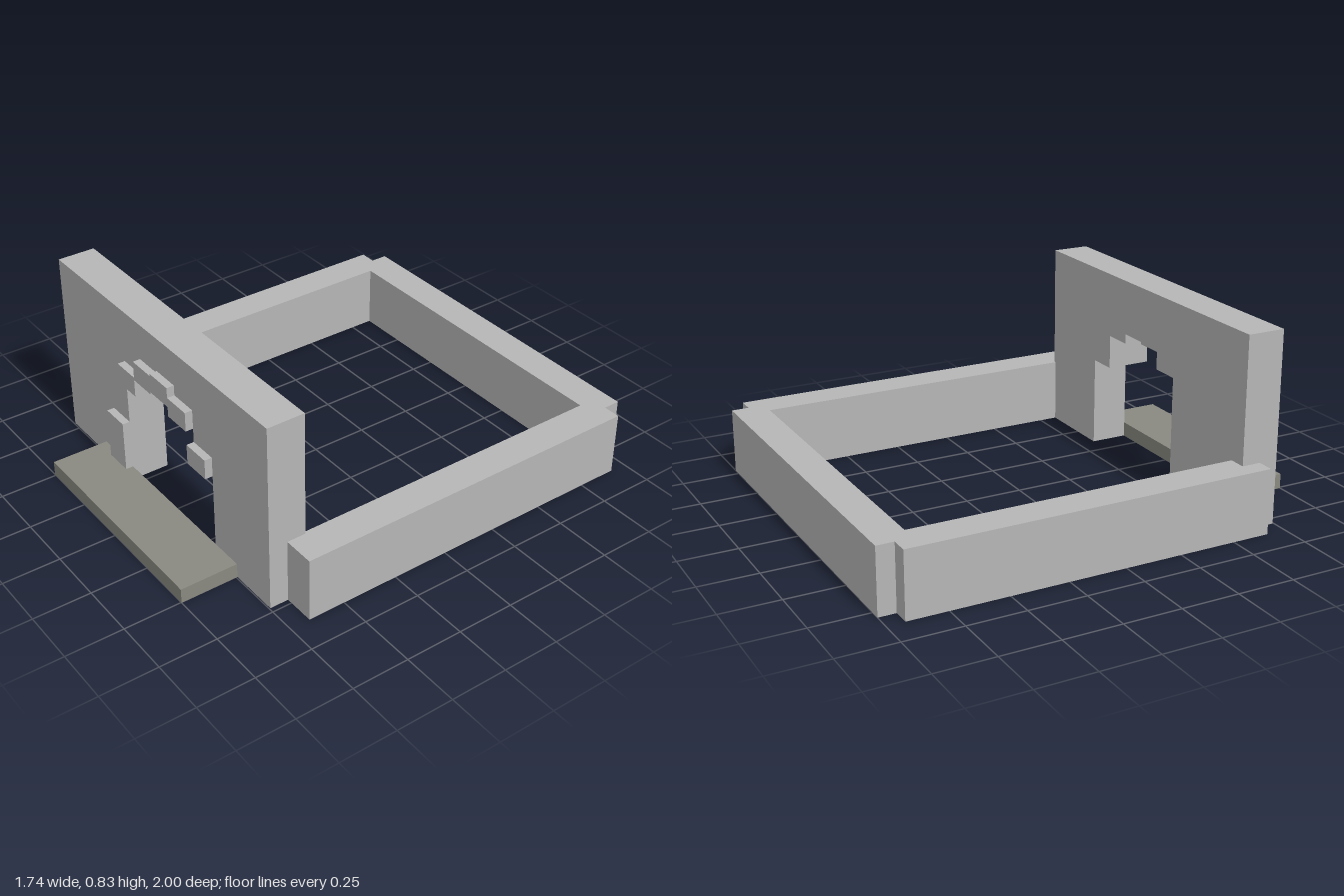
import * as THREE from 'three';

const stone = new THREE.MeshStandardMaterial({ name: 'lightStone', color: 0xb6b6b6 });
const slab = new THREE.MeshStandardMaterial({ name: 'darkSlab', color: 0x898981 });

// Box given by its limits on each axis
function block(name, material, [x0, x1], [y0, y1], [z0, z1]) {
  const mesh = new THREE.Mesh(new THREE.BoxGeometry(x1 - x0, y1 - y0, z1 - z0), material);
  mesh.position.set((x0 + x1) / 2, (y0 + y1) / 2, (z0 + z1) / 2);
  mesh.name = name;
  return mesh;
}

export function createModel() {
  const model = new THREE.Group();
  model.name = 'walledCourtyard';

  // Low walls around the yard
  const lowHeight = [0, 0.282];
  model.add(
    block('rightWall', stone, [-0.87, -0.72], lowHeight, [-0.925, 0.663]),
    block('leftWall', stone, [0.716, 0.866], lowHeight, [-0.925, 0.663]),
    block('backWall', stone, [-0.795, 0.79], lowHeight, [-1, -0.853]),
  );

  // Arch stones: x start, x end, bottom, top
  const archStones = [
    [-0.283, -0.155, 0.5, 0.59],
    [-0.155, -0.028, 0.578, 0.665],
    [-0.028, 0.098, 0.588, 0.675],
    [0.098, 0.225, 0.545, 0.63],
    [0.225, 0.352, 0.396, 0.483],
  ];

  // Tall front wall with a stepped doorway that follows the arch stones
  const outline = new THREE.Shape();
  outline.moveTo(-0.795, 0);
  outline.lineTo(-0.283, 0);
  for (const [x0, x1, bottom] of archStones) {
    outline.lineTo(x0, bottom);
    outline.lineTo(x1, bottom);
  }
  outline.lineTo(0.352, 0);
  outline.lineTo(0.727, 0);
  outline.lineTo(0.727, 0.828);
  outline.lineTo(-0.795, 0.828);
  outline.closePath();
  const frontWall = new THREE.Mesh(
    new THREE.ExtrudeGeometry(outline, { depth: 0.165, bevelEnabled: false }), stone);
  frontWall.position.z = 0.58;
  frontWall.name = 'frontWall';
  model.add(frontWall);

  // Raised trim around the doorway
  const trimDepth = [0.745, 0.778];
  const trim = new THREE.Group();
  trim.name = 'doorwayTrim';
  archStones.forEach(([x0, x1, y0, y1], i) =>
    trim.add(block(`archStone${i + 1}`, stone, [x0, x1], [y0, y1], trimDepth)));
  trim.add(block('jambStone', stone, [-0.41, -0.283], [0, 0.293], trimDepth));
  model.add(trim);

  // Doorstep
  model.add(block('doorstep', slab, [-0.507, 0.503], [0, 0.065], [0.745, 1]));

  return model;
}
